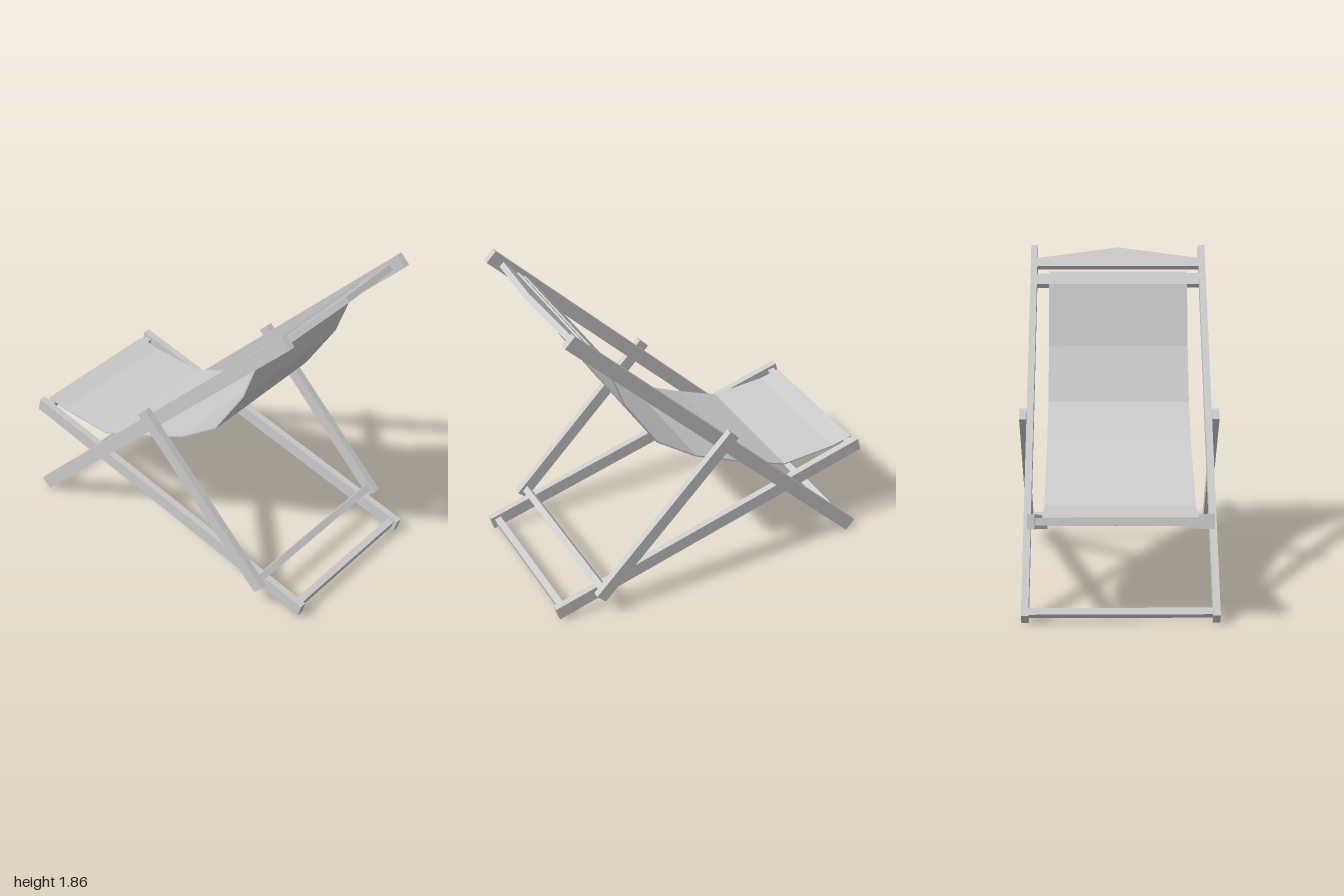
import * as THREE from 'three';

const material = new THREE.MeshStandardMaterial({ color: 0xcccccc, flatShading: true });

// Box running between two points of the side profile, centred at depth z
function beam(name, [x0, y0], [x1, y1], width, depth, z = 0) {
  const dx = x1 - x0, dy = y1 - y0;
  const mesh = new THREE.Mesh(new THREE.BoxGeometry(Math.hypot(dx, dy), width, depth), material);
  mesh.position.set((x0 + x1) / 2, (y0 + y1) / 2, z);
  mesh.rotation.z = Math.atan2(dy, dx);
  mesh.name = name;
  return mesh;
}

// Crossbar spanning the frame: length along the tilt, thickness across it
function crossbar(name, x, y, length, thickness, span, tilt) {
  const mesh = new THREE.Mesh(new THREE.BoxGeometry(length, thickness, span), material);
  mesh.position.set(x, y, 0);
  mesh.rotation.z = tilt;
  mesh.name = name;
  return mesh;
}

// Thin sling: the profile line thickened downwards and extruded across the seat
function sling(points, thickness, span) {
  const top = points.map(([x, y]) => new THREE.Vector2(x, y));
  const under = top.map((p, i) => {
    const a = top[Math.max(i - 1, 0)], b = top[Math.min(i + 1, top.length - 1)];
    const d = b.clone().sub(a).normalize();
    return new THREE.Vector2(p.x + d.y * thickness, p.y - d.x * thickness);
  });
  const shape = new THREE.Shape([...top, ...under.reverse()]);
  const geometry = new THREE.ExtrudeGeometry(shape, { depth: span, bevelEnabled: false });
  geometry.translate(0, 0, -span / 2);
  const mesh = new THREE.Mesh(geometry, material);
  mesh.name = 'fabricSling';
  return mesh;
}

// Peaked board at the head of the back frame, lying in the plane of the rails
function headBoard() {
  const half = 0.495, thickness = 0.035;
  const shape = new THREE.Shape();
  shape.moveTo(-half, 0);
  shape.lineTo(half, 0);
  shape.lineTo(half, 0.064);
  shape.lineTo(0, 0.148);
  shape.lineTo(-half, 0.064);
  shape.closePath();
  const geometry = new THREE.ExtrudeGeometry(shape, { depth: thickness, bevelEnabled: false });
  geometry.translate(0, 0, -thickness / 2);
  geometry.rotateY(Math.PI / 2);
  const mesh = new THREE.Mesh(geometry, material);
  mesh.position.set(0.7675, 1.7375, 0);
  mesh.rotation.z = -Math.PI / 4;
  mesh.name = 'headBoard';
  return mesh;
}

export function createModel() {
  const chair = new THREE.Group();
  chair.name = 'deckChair';
  const backTilt = Math.PI / 4;
  const seatTilt = Math.atan2(-0.53, 1.98);

  // Paired side rails and struts
  for (const side of [1, -1]) {
    chair.add(
      beam('backRail', [-0.938, 0.034], [0.872, 1.842], 0.08, 0.04, side * 0.515),
      beam('seatRail', [-0.99, 0.59], [0.99, 0.06], 0.08, 0.04, side * 0.475),
      beam('supportStrut', [-0.088, 0.99], [0.755, 0.14], 0.075, 0.04, side * 0.555)
    );
  }

  // Crossbars of the back frame, seat frame and support
  chair.add(
    crossbar('topCrossbar', 0.6975, 1.6675, 0.085, 0.035, 0.99, backTilt),
    crossbar('backFootCrossbar', -0.912, 0.062, 0.04, 0.04, 0.99, backTilt),
    crossbar('seatFrontCrossbar', -0.948, 0.579, 0.04, 0.04, 0.91, seatTilt),
    crossbar('seatRearCrossbar', 0.95, 0.07, 0.04, 0.045, 0.91, seatTilt),
    crossbar('strutCrossbar', 0.725, 0.175, 0.04, 0.03, 1.07, -backTilt),
    headBoard()
  );

  // Sagging fabric from the front seat bar to the top of the back
  chair.add(sling([
    [-0.975, 0.607], [-0.85, 0.578], [-0.78, 0.573], [-0.52, 0.557], [-0.26, 0.66], [0.07, 0.81],
    [0.315, 0.985], [0.51, 1.29], [0.59, 1.505], [0.645, 1.652], [0.708, 1.722]
  ], 0.008, 0.84));
  return chair;
}
